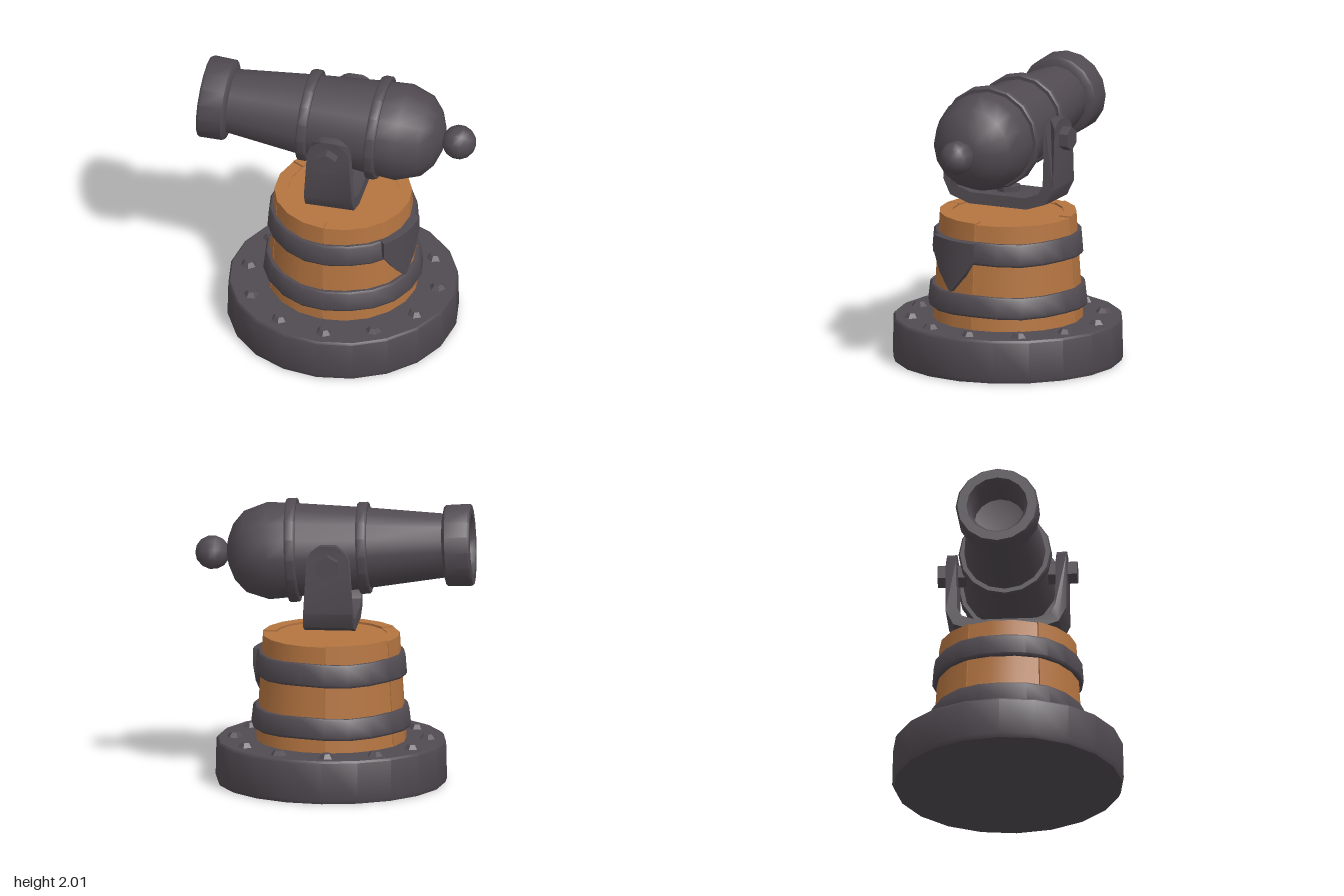
import * as THREE from 'three';
import { toCreasedNormals } from 'three/addons/utils/BufferGeometryUtils.js';

const iron = new THREE.MeshStandardMaterial({ color: 0x514b51 });
iron.name = 'dark iron';
const wood = new THREE.MeshStandardMaterial({ color: 0xb57541 });
wood.name = 'wood';

const CX = 0.03; // axis of the pedestal
const rad = THREE.MathUtils.degToRad;
const lerp = THREE.MathUtils.lerp;

function add(parent, name, geometry, material, crease = 0.7) {
  const mesh = new THREE.Mesh(toCreasedNormals(geometry, crease), material);
  mesh.name = name;
  parent.add(mesh);
  return mesh;
}

function lathe(points, sides) {
  return new THREE.LatheGeometry(points.map(([r, y]) => new THREE.Vector2(r, y)), sides);
}

// Move every vertex by a rule
function warp(geometry, rule) {
  const p = geometry.attributes.position;
  const v = new THREE.Vector3();
  for (let i = 0; i < p.count; i++) {
    v.fromBufferAttribute(p, i);
    rule(v);
    p.setXYZ(i, v.x, v.y, v.z);
  }
  return geometry;
}

// Box bent round the pedestal axis; the rule gives angle and outer radius
function bentBox(steps, rows, y0, y1, thickness, angle, radius) {
  return warp(new THREE.BoxGeometry(1, 1, 1, steps, rows, 1), (v) => {
    const u = v.x + 0.5, h = v.y + 0.5;
    const a = angle(u, h);
    const r = radius(h) + (v.z - 0.5) * thickness;
    v.set(Math.sin(a) * r, lerp(y0, y1, h), Math.cos(a) * r);
  });
}

function buildPedestal() {
  const g = new THREE.Group();
  g.name = 'pedestal';
  g.position.x = CX;

  // Heavy iron base plate
  add(g, 'basePlate', lathe([
    [0, 0], [0.8, 0], [0.813, 0.03], [0.807, 0.29], [0.795, 0.305], [0, 0.305],
  ], 20), iron);

  // Rivets round the base
  for (let i = 0; i < 12; i++) {
    const a = rad(i * 30 + 2);
    const rivet = add(g, 'rivet', new THREE.CylinderGeometry(0.033, 0.06, 0.035, 6), iron, 0.4);
    rivet.position.set(Math.sin(a) * 0.675, 0.32, Math.cos(a) * 0.675);
    rivet.rotation.y = a + i;
  }

  // Wooden core and staves with narrow seams
  add(g, 'woodenCore', new THREE.CylinderGeometry(0.455, 0.5, 0.75, 20).translate(0, 0.67, 0), wood);
  const seams = [-3, 87, 180, 240, 300, 357];
  for (let i = 0; i < 5; i++) {
    const a0 = rad(seams[i] + 0.5), a1 = rad(seams[i + 1] - 0.5);
    const steps = Math.round((a1 - a0) / 0.32);
    add(g, 'stave', bentBox(steps, 1, 0.29, 1.06 - (i % 2) * 0.008, 0.09,
      (u) => lerp(a0, a1, u), (h) => lerp(0.53, 0.482, h)), wood);
  }

  // Iron hoops, a little uneven
  for (const [name, y0, y1, r0, r1] of [
    ['upperHoop', 0.77, 0.93, 0.532, 0.522],
    ['lowerHoop', 0.4, 0.55, 0.562, 0.548],
  ]) {
    const hoop = lathe([
      [0.46, y0], [r0 - 0.01, y0], [r0, y0 + 0.015], [r1, y1 - 0.015], [r1 - 0.012, y1], [0.46, y1], [0.46, y0],
    ], 20);
    warp(hoop, (v) => { v.y += 0.005 * Math.sin(5 * Math.atan2(v.x, v.z)); });
    add(g, name, hoop, iron);
  }

  // Loose pointed end of the upper hoop on the side
  const mid = rad(67);
  add(g, 'hoopPoint', bentBox(6, 3, 0.56, 0.93, 0.06,
    (u, h) => mid + (u - 0.5) * 0.78 * Math.min(1, 0.04 + h * 1.65),
    (h) => lerp(0.545, 0.552, h)), iron);
  return g;
}

function buildYoke() {
  const g = new THREE.Group();
  g.name = 'yoke';
  g.position.x = 0.02;

  // U-shaped strap: outer outline, then the inner one back
  const outer = [[0.22, 1.12], [0.37, 1.17], [0.425, 1.28], [0.425, 1.64], [0.42, 1.7], [0.42, 1.742], [0.42, 1.76]];
  const inner = [[0.35, 1.76], [0.35, 1.742], [0.35, 1.7], [0.345, 1.64], [0.345, 1.3], [0.31, 1.235], [0.21, 1.2]];
  const half = [...outer, ...inner];
  const outline = [...half, ...half.slice().reverse().map(([z, y]) => [-z, y])];
  const shape = new THREE.Shape(outline.map(([z, y]) => new THREE.Vector2(z, y)));
  const strap = new THREE.ExtrudeGeometry(shape, { depth: 2, bevelEnabled: false });
  strap.translate(0, 0, -1).rotateY(Math.PI / 2);
  // Narrow the strap upward into rounded ends
  const widths = [[1.12, 0.178], [1.28, 0.172], [1.64, 0.15], [1.7, 0.132], [1.742, 0.085], [1.761, 0.05]];
  warp(strap, (v) => {
    let i = 0;
    while (i < widths.length - 2 && v.y > widths[i + 1][0]) i++;
    const [[y0, w0], [y1, w1]] = [widths[i], widths[i + 1]];
    v.x *= lerp(w0, w1, (v.y - y0) / (y1 - y0));
  });
  add(g, 'yokeStrap', strap, iron, 0.6);

  // Pivot bolt and trunnion pin
  add(g, 'pivotBolt', new THREE.CylinderGeometry(0.085, 0.085, 0.06, 8).translate(0, 1.21, 0), iron);
  add(g, 'trunnionPin', new THREE.CylinderGeometry(0.085, 0.085, 0.98, 6)
    .rotateX(Math.PI / 2).translate(0, 1.62, 0), iron, 0.6);
  return g;
}

function buildCannon() {
  const g = new THREE.Group();
  g.name = 'cannon';
  g.position.y = 1.658;
  g.rotation.z = -Math.PI / 2 - 0.048; // local y runs from muzzle to breech

  // Barrel with open bore, muzzle band and rounded breech
  add(g, 'barrel', lathe([
    [0, -0.68], [0.18, -0.7], [0.19, -0.93], [0.215, -0.965],
    [0.28, -0.965], [0.292, -0.95], [0.288, -0.79], [0.272, -0.775],
    [0.228, -0.765], [0.29, -0.2], [0.335, 0.3], [0.346, 0.47],
    [0.29, 0.63], [0.2, 0.71], [0.1, 0.75], [0.05, 0.76], [0.05, 0.82],
  ], 16), iron);

  // Reinforcing rings
  for (const [name, y, r] of [['frontRing', -0.205, 0.327], ['rearRing', 0.295, 0.37]]) {
    add(g, name, lathe([
      [r - 0.08, y - 0.037], [r - 0.01, y - 0.037], [r, y - 0.025],
      [r, y + 0.025], [r - 0.01, y + 0.037], [r - 0.08, y + 0.037],
    ], 16), iron);
  }

  // Knob at the breech
  add(g, 'breechKnob', new THREE.SphereGeometry(0.122, 10, 7).translate(0, 0.865, 0), iron, 1);
  return g;
}

export function createModel() {
  const model = new THREE.Group();
  model.name = 'swivelCannon';
  model.add(buildPedestal(), buildYoke(), buildCannon());
  return model;
}
